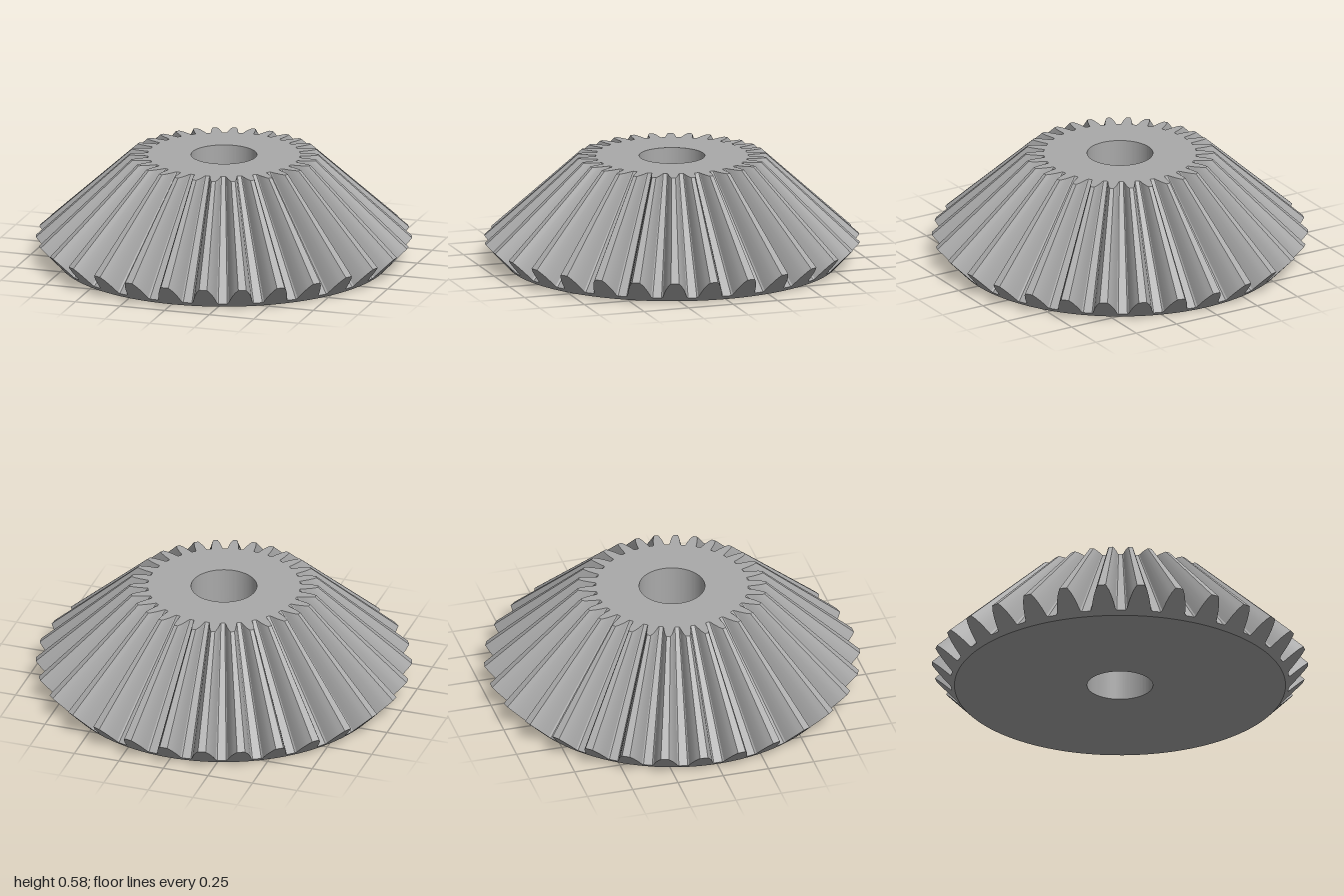
import * as THREE from 'three';
import { toCreasedNormals } from 'three/addons/utils/BufferGeometryUtils.js';

const TEETH = 30;
const TOP = 0.58;      // height of the top face
const APEX = 1.035;    // pitch cone apex, all tooth lines meet here
const BASE_R = 0.88;   // radius of the underside
const ROOT_Y = 0.022, TIP_Y = 0.125;
const BORE_R = 0.175;

// half tooth outline: [half width, share of tooth height], root to tip
const FLANK = [[0.071, 0], [0.064, 0.06], [0.06, 0.2], [0.054, 0.4], [0.046, 0.6], [0.036, 0.8], [0.021, 1]];

// tooth outline on the back cone, as angle, radius and height
function toothOutline() {
  const half = FLANK.map(([w, h]) => {
    const y = ROOT_Y + (TIP_Y - ROOT_Y) * h;
    const r = BASE_R + 0.96 * y;
    return { a: w / r, r, y };
  });
  const tooth = [...half.map((p) => ({ ...p, a: -p.a })), ...half.slice().reverse()];
  const outline = [];
  for (let i = 0; i < TEETH; i++) {
    for (const p of tooth) outline.push({ ...p, a: p.a + (i * 2 * Math.PI) / TEETH });
  }
  return outline;
}

// joins closed rings of equal length, keeping sharp edges
function loft(rings) {
  const pos = [];
  const n = rings[0].length;
  const add = ({ a, r, y }) => pos.push(r * Math.sin(a), y, r * Math.cos(a));
  for (let j = 0; j + 1 < rings.length; j++) {
    for (let i = 0; i < n; i++) {
      const k = (i + 1) % n;
      const [p, q, s, t] = [rings[j][i], rings[j][k], rings[j + 1][k], rings[j + 1][i]];
      [p, q, s, p, s, t].forEach(add);
    }
  }
  const geo = new THREE.BufferGeometry();
  geo.setAttribute('position', new THREE.Float32BufferAttribute(pos, 3));
  return toCreasedNormals(geo, Math.PI / 7);
}

export function createModel() {
  const steel = new THREE.MeshStandardMaterial({ color: 0xaaaaaa });
  steel.name = 'steel grey';
  const group = new THREE.Group();
  group.name = 'bevelGear';
  const add = (name, rings) => {
    const mesh = new THREE.Mesh(loft(rings), steel);
    mesh.name = name;
    group.add(mesh);
  };

  // rings from the underside to the top face
  const outer = toothOutline();
  const circle = (r, y) => outer.map(({ a }) => ({ a, r, y }));
  const upper = outer.map(({ a, r, y }) => ({ a, r: (r * (APEX - TOP)) / (APEX - y), y: TOP }));
  const base = circle(BASE_R, 0);
  const boreLow = circle(BORE_R, 0);
  const boreHigh = circle(BORE_R, TOP);

  add('underside', [boreLow, base]);
  add('backCone', [base, outer]);
  add('teeth', [outer, upper]);
  add('topFace', [upper, boreHigh]);
  add('bore', [boreHigh, boreLow]);
  return group;
}
